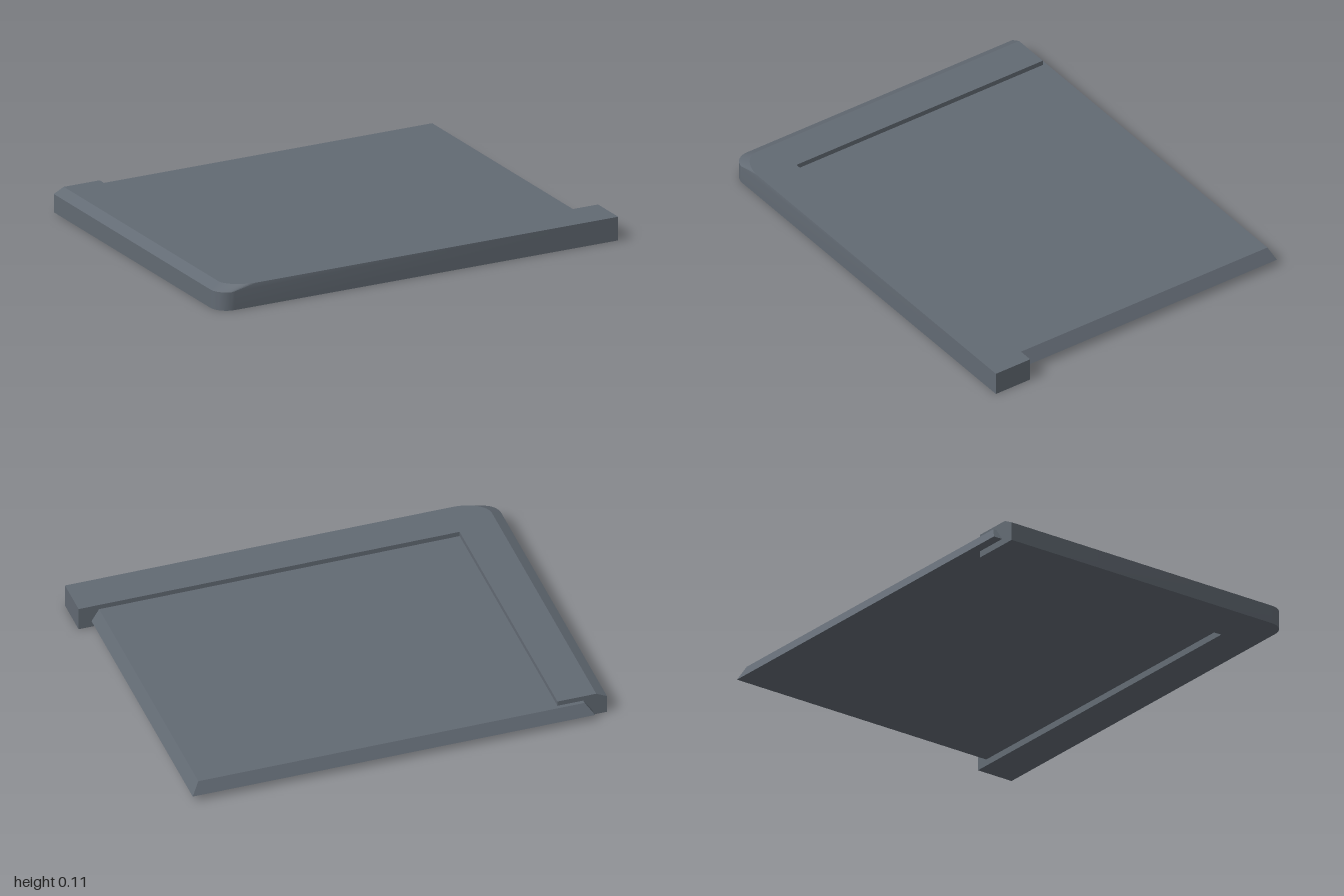
import * as THREE from 'three';
import { toCreasedNormals } from 'three/addons/utils/BufferGeometryUtils.js';

// Closed solid through stacked rings of [x, z], counter-clockwise seen from above.
function loft(rings, heights) {
  const pos = [];
  const put = (r, i) => pos.push(rings[r][i][0], heights[r], rings[r][i][1]);
  const n = rings[0].length;
  for (let r = 0; r + 1 < rings.length; r++) {
    for (let i = 0; i < n; i++) {
      const j = (i + 1) % n;
      put(r, i); put(r, j); put(r + 1, j);
      put(r, i); put(r + 1, j); put(r + 1, i);
    }
  }
  const cap = (r, flip) => {
    const contour = rings[r].map(([x, z]) => new THREE.Vector2(x, -z));
    for (const [a, b, c] of THREE.ShapeUtils.triangulateShape(contour, [])) {
      for (const i of flip ? [a, c, b] : [a, b, c]) put(r, i);
    }
  };
  cap(0, true);
  cap(rings.length - 1, false);
  const geo = new THREE.BufferGeometry();
  geo.setAttribute('position', new THREE.Float32BufferAttribute(pos, 3));
  return toCreasedNormals(geo, 0.4);
}

export function createModel() {
  const group = new THREE.Group();
  const slate = new THREE.MeshStandardMaterial({ color: 0x626a73 });
  slate.name = 'slate grey';

  const add = (name, geo) => {
    const mesh = new THREE.Mesh(geo, slate);
    mesh.name = name;
    group.add(mesh);
  };

  // L-shaped border: chamfered left edge, the chamfer fading out round the front corner
  const outer = [[-1, -0.735]];
  const top = [[-0.95, -0.735]];
  const steps = 12;
  for (let k = 0; k <= steps; k++) {
    const a = (k / steps) * Math.PI / 2;
    outer.push([-0.92 - 0.08 * Math.cos(a), 0.7 + 0.08 * Math.sin(a)]);
    top.push([-0.8 - 0.15 * Math.cos(a), 0.68 + 0.1 * Math.sin(a)]);
  }
  const rest = [[1, 0.78], [1, 0.595], [-0.77, 0.595], [-0.77, -0.735]];
  outer.push(...rest);
  top.push(...rest);
  add('borderFrame', loft([outer, outer, top], [0, 0.085, 0.11]));

  // Thin panel set into the border, with bevelled free edges
  const rect = (x0, x1, z0, z1) => [[x0, z0], [x0, z1], [x1, z1], [x1, z0]];
  add('panel', loft([
    rect(-0.93, 0.94, -0.78, 0.7),
    rect(-0.89, 0.905, -0.753, 0.7),
  ], [0.03, 0.087]));

  return group;
}
